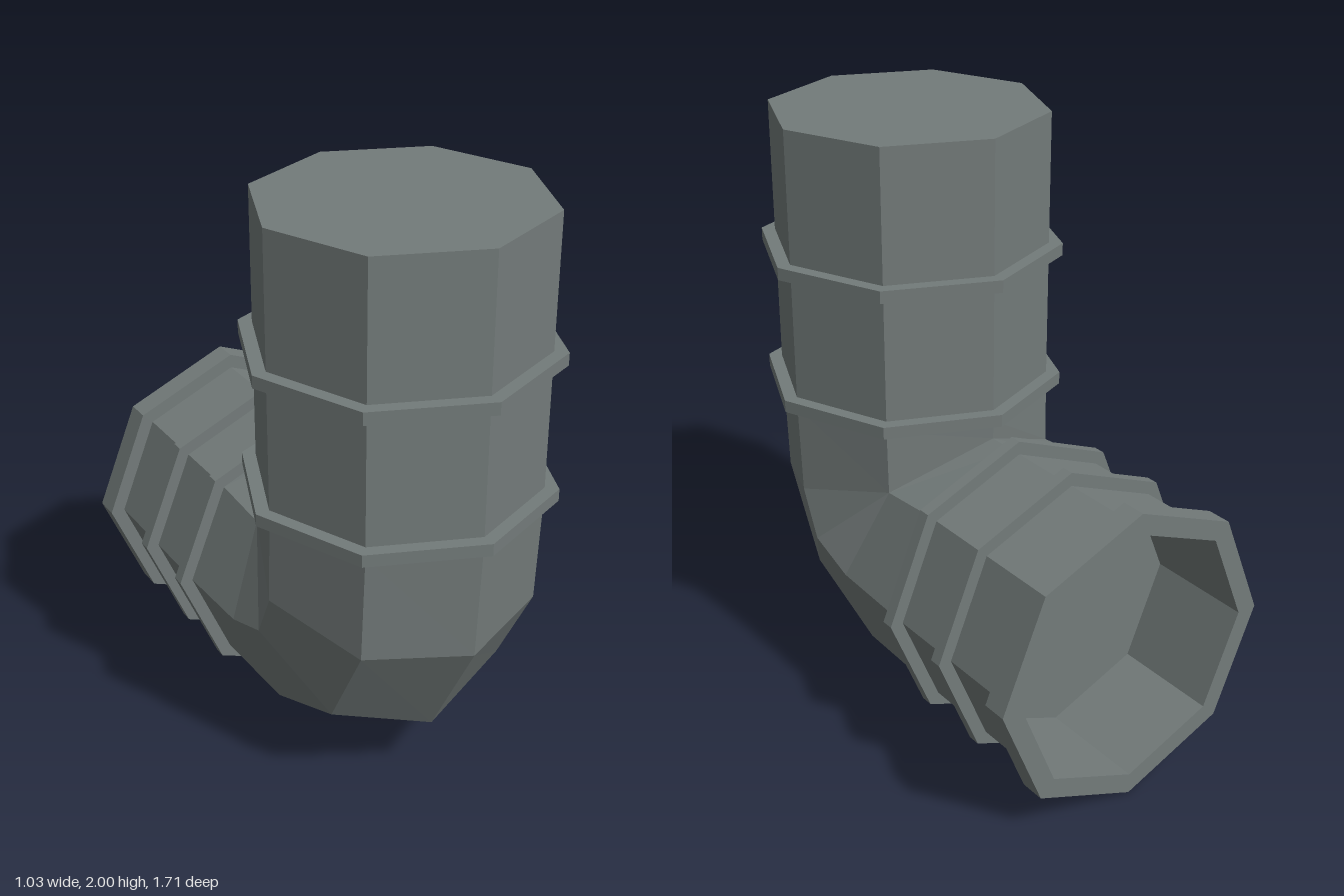
import * as THREE from 'three';

const AXIS_Z = 0.345;  // centre of the upright pipe
const AXIS_Y = 0.518;  // centre of the level pipe
const R = 0.466;       // pipe radius
const D = R * Math.SQRT1_2;

const material = new THREE.MeshStandardMaterial({ color: 0x737b7a, flatShading: true });

function addMesh(parent, name, geometry) {
  const mesh = new THREE.Mesh(geometry, material);
  mesh.name = name;
  parent.add(mesh);
  return mesh;
}

// Octagonal sections, each given as [z, y] for the outer, outer diagonal,
// side, inner diagonal and inner corners; the other half is mirrored in x.
const offsets = [R, D, 0, -D, -R];
const upright = (y) => offsets.map((o) => [AXIS_Z + o, y]);
const level = (z) => offsets.map((o) => [z, AXIS_Y - o]);
const crotch = [[0.01, 0.83], [-0.12, 0.985]];
const sections = [
  upright(2),
  upright(1.05),
  [[0.79, 0.645], [0.655, 0.67], [0.33, 0.75], ...crotch],
  [[0.575, 0.24], [0.48, 0.345], [0.255, 0.59], ...crotch],
  [[0.165, 0.07], [0.14, 0.2], [0.08, 0.53], ...crotch],
  level(-0.22),
  level(-0.8),
];

function elbowGeometry() {
  const halfWidths = [0, D, R, D, 0];
  const rings = sections.map((s) =>
    Array.from({ length: 8 }, (_, k) => {
      const i = k <= 4 ? k : 8 - k;
      return new THREE.Vector3(k <= 4 ? halfWidths[i] : -halfWidths[i], s[i][1], s[i][0]);
    }));
  const positions = [];
  const tri = (a, b, c) => {
    if (new THREE.Triangle(a, b, c).getArea() > 1e-6) {
      for (const p of [a, b, c]) positions.push(p.x, p.y, p.z);
    }
  };
  const top = new THREE.Vector3(0, 2, AXIS_Z);
  for (let k = 0; k < 8; k++) {
    const n = (k + 1) % 8;
    tri(top, rings[0][k], rings[0][n]); // closed top
    for (let j = 0; j < rings.length - 1; j++) {
      const a = rings[j][k], b = rings[j][n], c = rings[j + 1][n], d = rings[j + 1][k];
      tri(a, d, c);
      tri(a, c, b);
    }
  }
  const g = new THREE.BufferGeometry();
  g.setAttribute('position', new THREE.Float32BufferAttribute(positions, 3));
  g.computeVertexNormals();
  return g;
}

// Eight-sided turned part from [radius, height] points
const turned = (points) =>
  new THREE.LatheGeometry(points.map(([r, h]) => new THREE.Vector2(r, h)), 8);

const collar = (h0, h1) =>
  turned([[R - 0.02, h0], [0.512, h0], [0.512, h1], [R - 0.02, h1]]);

export function createModel() {
  const model = new THREE.Group();
  model.name = 'pipeElbow';

  addMesh(model, 'elbowPipe', elbowGeometry());

  // Collars on the upright pipe
  for (const y of [1.047, 1.515]) {
    addMesh(model, 'uprightCollar', collar(y, y + 0.042)).position.z = AXIS_Z;
  }

  // Collars and open socket on the level pipe, pointing backwards
  const back = new THREE.Group();
  back.name = 'levelPipeFittings';
  back.position.y = AXIS_Y;
  back.rotation.x = -Math.PI / 2;
  model.add(back);
  for (const h of [0.218, 0.483]) addMesh(back, 'levelCollar', collar(h, h + 0.042));
  addMesh(back, 'socket', turned([
    [R - 0.02, 0.77], [0.517, 0.77], [0.517, 0.855],
    [0.445, 0.855], [0.445, 0.48], [0, 0.48],
  ]));

  return model;
}
